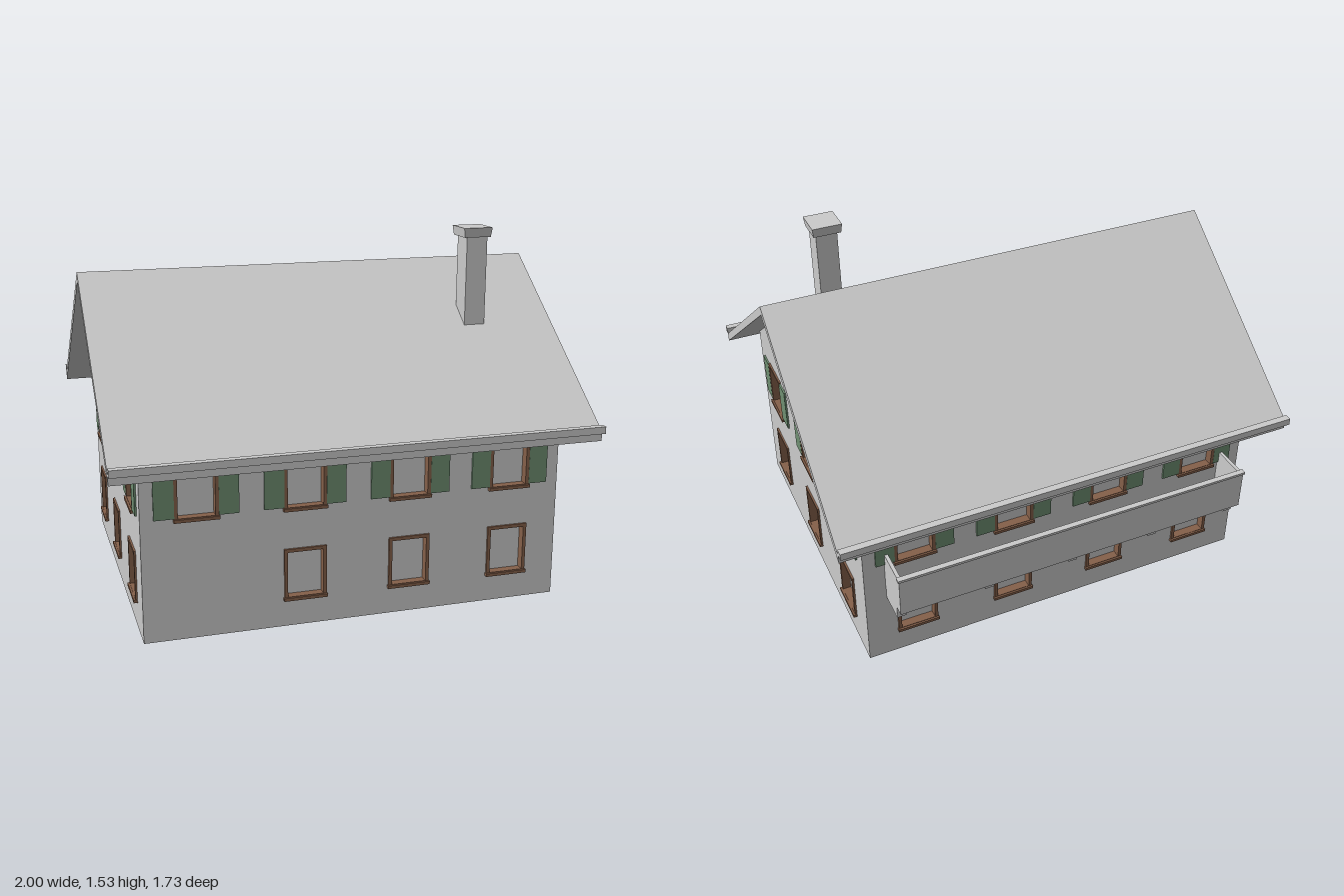
import * as THREE from 'three';

const mat = (name, color, side = THREE.FrontSide) => {
  const m = new THREE.MeshStandardMaterial({ color, side });
  m.name = name;
  return m;
};

export function createModel() {
  const plaster = mat('plaster grey', 0xcccccc, THREE.DoubleSide);
  const wood = mat('brown wood', 0x85604a);
  const green = mat('shutter green', 0x6f8f72);

  const model = new THREE.Group();
  model.name = 'house';

  const add = (parent, name, geometry, material) => {
    const mesh = new THREE.Mesh(geometry, material);
    mesh.name = name;
    parent.add(mesh);
    return mesh;
  };
  // Box given by its minimum and maximum corners
  const box = (parent, name, material, x0, x1, y0, y1, z0, z1) => {
    const mesh = add(parent, name, new THREE.BoxGeometry(x1 - x0, y1 - y0, z1 - z0), material);
    mesh.position.set((x0 + x1) / 2, (y0 + y1) / 2, (z0 + z1) / 2);
    return mesh;
  };
  const polygon = (Type, points) => new Type(points.map(([x, y]) => new THREE.Vector2(x, y)));
  const rect = (Type, x0, x1, y0, y1) => polygon(Type, [[x0, y0], [x1, y0], [x1, y1], [x0, y1]]);

  // Main dimensions
  const HALF_X = 0.875, HALF_Z = 0.7, MID_Z = 0.01;
  const EAVES = 0.8, RIDGE = 1.32, SLOPE = (RIDGE - EAVES) / HALF_Z;
  const WIN_W = 0.0875, WIN_H = 0.218, LOWER = 0.113, UPPER = 0.492;

  // Recessed window: frame, pane, sill and optional shutters, facing local +z
  const frameShape = rect(THREE.Shape, -WIN_W, WIN_W, 0, WIN_H);
  frameShape.holes.push(rect(THREE.Path, -WIN_W + 0.014, WIN_W - 0.014, 0.014, WIN_H - 0.014));
  const frameGeometry = new THREE.ExtrudeGeometry(frameShape, { depth: 0.042, bevelEnabled: false });
  const addWindow = (wall, x, y, shutters) => {
    const win = new THREE.Group();
    win.name = 'window';
    win.position.set(x, y, 0);
    add(win, 'windowFrame', frameGeometry, wood).position.z = -0.034;
    box(win, 'windowPane', plaster, -WIN_W + 0.01, WIN_W - 0.01, 0.01, WIN_H - 0.01, -0.034, -0.028);
    box(win, 'windowSill', wood, -WIN_W - 0.003, WIN_W + 0.003, -0.001, 0.012, 0, 0.016);
    if (shutters) {
      for (const s of [-1, 1]) {
        const shutter = add(win, 'shutter', new THREE.BoxGeometry(0.08, 0.196, 0.008), green);
        shutter.position.set(s * (WIN_W + 0.04), 0.113, 0.005);
      }
    }
    wall.add(win);
  };

  // Wall sheet with openings, placed by position and turn about y
  const addWall = (name, outline, lowerXs, upperXs, x, z, turn) => {
    const wall = new THREE.Group();
    wall.name = name;
    const shape = polygon(THREE.Shape, outline);
    for (const [xs, y, shutters] of [[lowerXs, LOWER, false], [upperXs, UPPER, true]]) {
      for (const wx of xs) {
        shape.holes.push(rect(THREE.Path, wx - WIN_W, wx + WIN_W, y, y + WIN_H));
        addWindow(wall, wx, y, shutters);
      }
    }
    add(wall, name + 'Surface', new THREE.ShapeGeometry(shape), plaster);
    wall.position.set(x, 0, z);
    wall.rotation.y = turn;
    model.add(wall);
  };
  const long = [[-HALF_X, 0], [HALF_X, 0], [HALF_X, EAVES], [-HALF_X, EAVES]];
  const gable = [[-HALF_Z, 0], [HALF_Z, 0], [HALF_Z, EAVES], [0, RIDGE], [-HALF_Z, EAVES]];
  const four = [-0.655, -0.22, 0.22, 0.655], three = [-0.47, 0, 0.47];
  addWall('frontWall', long, four.slice(1), four, 0, MID_Z + HALF_Z, 0);
  addWall('backWall', long, four, four, 0, MID_Z - HALF_Z, Math.PI);
  addWall('leftWall', gable, three, three, HALF_X, MID_Z, Math.PI / 2);
  addWall('rightWall', gable, three, three, -HALF_X, MID_Z, -Math.PI / 2);

  // Roof: chevron section extruded along the ridge
  const R = 0.828, drop = SLOPE * R, T = 0.04;
  const roofShape = polygon(THREE.Shape, [
    [-R, RIDGE - drop], [0, RIDGE], [R, RIDGE - drop],
    [R, RIDGE - drop + T], [0, RIDGE + T], [-R, RIDGE - drop + T],
  ]);
  const roof = add(model, 'roof', new THREE.ExtrudeGeometry(roofShape, { depth: 2, bevelEnabled: false }), plaster);
  roof.rotation.y = Math.PI / 2;
  roof.position.set(-1, 0, MID_Z);

  // Gutters along both eaves
  for (const s of [-1, 1]) {
    const gutter = add(model, 'gutter', new THREE.BoxGeometry(2, 0.03, 0.03), plaster);
    gutter.position.set(0, 0.758, MID_Z + s * (R + 0.014));
  }

  // Chimney with a slightly flared cap
  box(model, 'chimney', plaster, 0.595, 0.687, 1.1, 1.49, 0.245, 0.343);
  const cap = box(model, 'chimneyCap', plaster, 0.576, 0.704, 1.487, 1.527, 0.228, 0.356);
  const capPos = cap.geometry.attributes.position;
  for (let i = 0; i < capPos.count; i++) {
    if (capPos.getY(i) < 0) {
      capPos.setX(i, capPos.getX(i) * 0.92);
      capPos.setZ(i, capPos.getZ(i) * 0.92);
    }
  }
  cap.geometry.computeVertexNormals();

  // Balcony across the back: floor, parapet, rail and brackets
  const balcony = new THREE.Group();
  balcony.name = 'balcony';
  model.add(balcony);
  const B = 0.785, WALL = MID_Z - HALF_Z, OUT = -0.86;
  box(balcony, 'balconyFloor', plaster, -B, B, 0.38, 0.4, OUT, WALL);
  box(balcony, 'balconyFront', plaster, -B, B, 0.38, 0.558, OUT, OUT + 0.015);
  box(balcony, 'balconyRail', plaster, -B - 0.005, B + 0.005, 0.555, 0.566, OUT - 0.006, OUT + 0.018);
  for (const s of [-1, 1]) {
    const end = add(balcony, 'balconyEnd', new THREE.BoxGeometry(0.015, 0.178, WALL - OUT), plaster);
    end.position.set(s * (B - 0.0075), 0.469, (WALL + OUT) / 2);
  }
  for (let i = -2; i <= 2; i++) {
    const x = i * 0.382;
    box(balcony, 'balconyBracket', plaster, x - 0.02, x + 0.02, 0.318, 0.38, -0.812, WALL);
  }
  return model;
}
